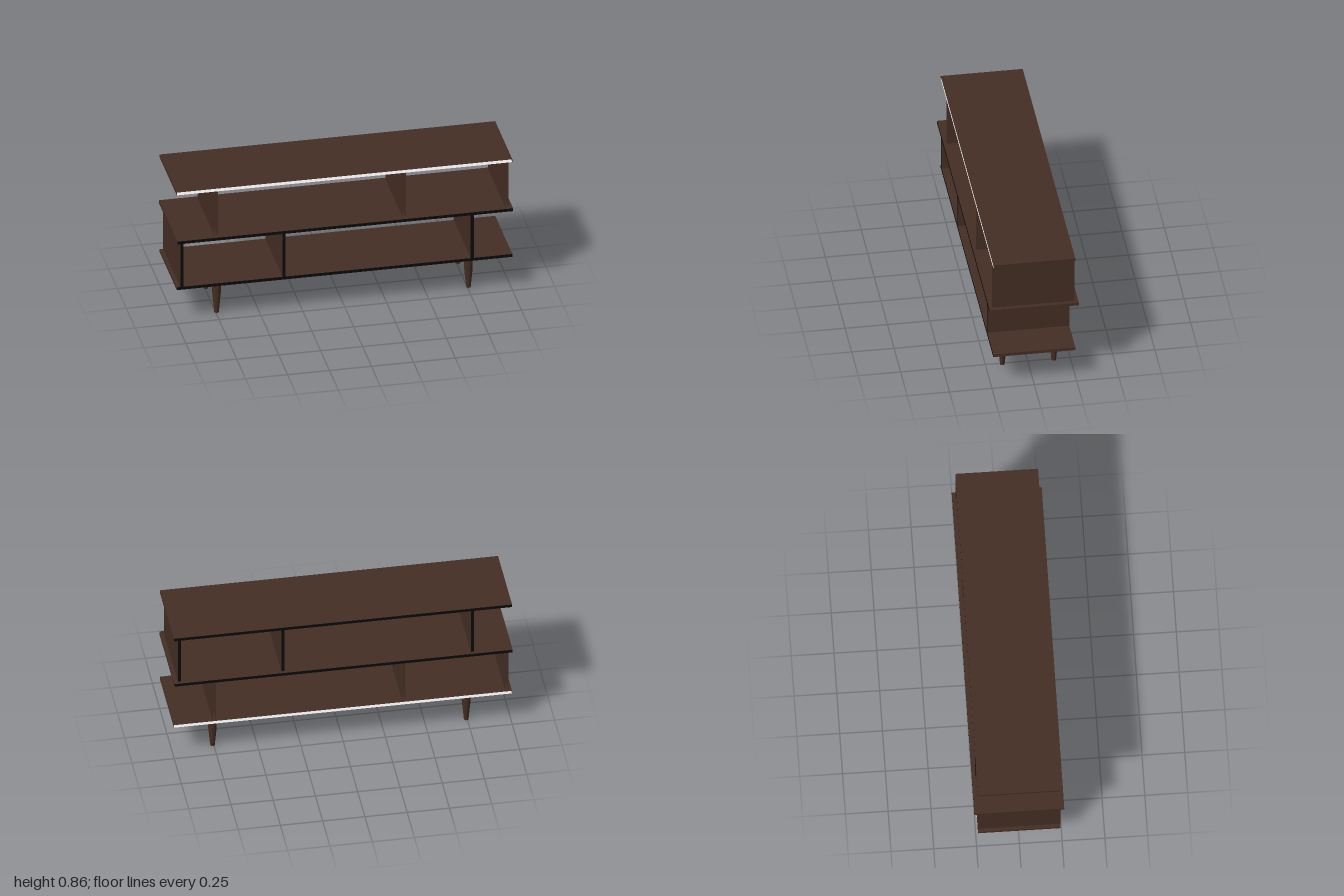
import * as THREE from 'three';

export function createModel() {
  const mat = (name, color) => {
    const m = new THREE.MeshStandardMaterial({ color, side: THREE.DoubleSide });
    m.name = name;
    return m;
  };
  const wood = mat('dark walnut', 0x442e24);
  const edge = mat('black edging', 0x0a0a0a);
  const under = mat('white underside', 0xffffff);

  const model = new THREE.Group();
  model.name = 'openShelfUnit';

  // Hollow board: one material per face (+x -x +y -y +z -z), null leaves that face open
  function board(name, size, pos, mats) {
    const box = new THREE.BoxGeometry(...size);
    const source = box.index.array;
    const indices = [];
    const groups = [];
    const used = [];
    box.groups.forEach((g, i) => {
      if (!mats[i]) return;
      if (!used.includes(mats[i])) used.push(mats[i]);
      groups.push([indices.length, g.count, used.indexOf(mats[i])]);
      for (let k = 0; k < g.count; k++) indices.push(source[g.start + k]);
    });
    box.setIndex(indices);
    box.clearGroups();
    groups.forEach((g) => box.addGroup(...g));
    const mesh = new THREE.Mesh(box, used);
    mesh.name = name;
    mesh.position.set(...pos);
    model.add(mesh);
  }

  const T = 0.0185; // board thickness
  const D = 0.484; // cabinet depth
  const yBottom = 0.2275, yMiddle = 0.54, yTop = 0.853;

  // Shelves: the top is open along its front edge, the bottom along its back edge
  const shelf = (name, y, depth, front, back) =>
    board(name, [2, T, depth], [0, y, 0], [wood, wood, wood, under, front, back]);
  shelf('bottomShelf', yBottom, D, edge, null);
  shelf('middleShelf', yMiddle, 0.526, edge, edge);
  shelf('topShelf', yTop, D, null, edge);

  // Upright dividers, staggered between the two tiers
  const divider = (name, x, y0, y1, front, back) =>
    board(name, [T, y1 - y0 - T, D], [x, (y0 + y1) / 2, 0], [wood, wood, null, null, front, back]);
  for (const x of [-0.97, -0.361, 0.761]) divider('lowerDivider', x, yBottom, yMiddle, edge, null);
  for (const x of [-0.765, 0.356, 0.967]) divider('upperDivider', x, yMiddle, yTop, null, edge);

  // Round tapered legs: straight upper half, narrowing to the foot
  const profile = [[0, 0], [0.0137, 0], [0.0137, 0], [0.025, 0.125], [0.025, 0.218]]
    .map(([r, y]) => new THREE.Vector2(r, y));
  const legGeometry = new THREE.LatheGeometry(profile, 24);
  for (const x of [-0.744, 0.757]) {
    for (const z of [-0.152, 0.151]) {
      const leg = new THREE.Mesh(legGeometry, wood);
      leg.name = z > 0 ? 'frontLeg' : 'backLeg';
      leg.position.set(x, 0, z);
      model.add(leg);
    }
  }
  return model;
}
